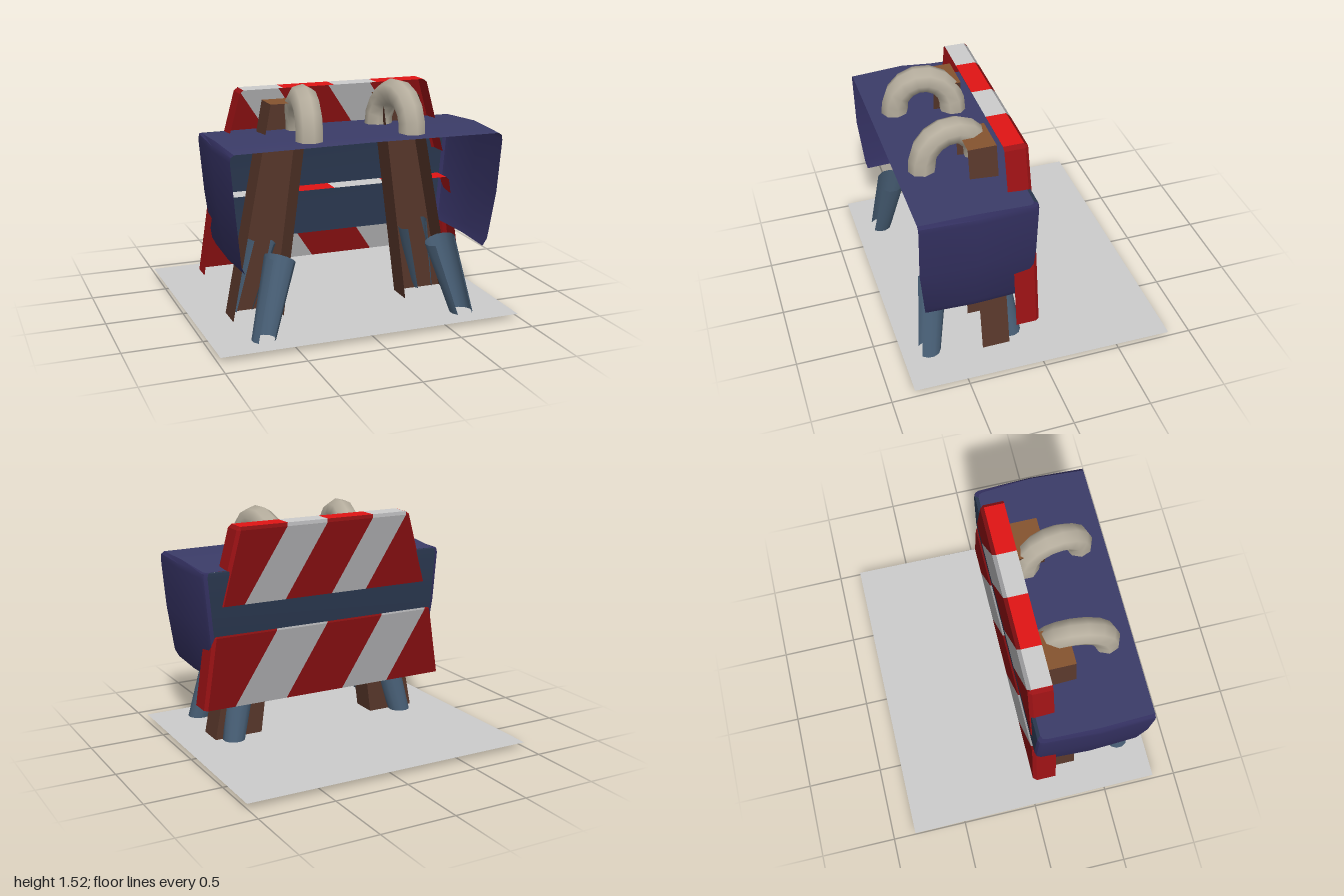
import * as THREE from 'three';
import { toCreasedNormals } from 'three/addons/utils/BufferGeometryUtils.js';

const paint = (color) => new THREE.MeshStandardMaterial({ color, side: THREE.DoubleSide });
const red = paint(0x800e10), white = paint(0xa2a2a4), topRed = paint(0xe01414), topWhite = paint(0xcccccc);
const ground = paint(0xcccccc), endRed = paint(0x981114);
const navy = paint(0x322f5e), navyRoof = paint(0x3b3c68), navyBack = paint(0x28354c);
const brown = paint(0x56362a), brownCap = paint(0x85532f), steel = paint(0x485f76), bone = paint(0xb5ad9d);

// Surface through rows of [x, y, z] points, all rows equally long
function sheet(rows, crease = 0.7) {
  const n = rows[0].length, index = [];
  for (let r = 0; r < rows.length - 1; r++)
    for (let i = 0; i < n - 1; i++) {
      const a = r * n + i, b = a + 1, c = a + n, d = c + 1;
      index.push(a, c, b, b, c, d);
    }
  const geo = new THREE.BufferGeometry();
  geo.setAttribute('position', new THREE.Float32BufferAttribute(rows.flat(2), 3));
  geo.setIndex(index);
  return toCreasedNormals(geo, crease);
}

function add(parent, name, geo, mat) {
  const mesh = new THREE.Mesh(geo, mat);
  mesh.name = name;
  parent.add(mesh);
}

// Hollow body: U-shaped sections (open to the front) stacked upwards, then a roof
function makeBody() {
  const group = new THREE.Group();
  group.name = 'body';
  const levels = [ // y, half width, front z, back z
    [0.47, 0.80, 0.71, 0.04], [0.52, 0.825, 0.72, 0.035], [0.83, 0.862, 0.75, 0.015],
    [1.16, 0.89, 0.75, 0.014], [1.19, 0.885, 0.75, 0.018], [1.205, 0.865, 0.75, 0.04],
  ];
  const rows = levels.map(([y, w, zf, zb], k) => {
    const ridge = k === levels.length - 1 ? 0.012 : 0;
    const half = [
      [w - 0.015, y, zf], [w, y + ridge, 0.4], [w - 0.014, y - ridge, zb + 0.035],
      [w - 0.022, y - ridge, zb + 0.01], [w - 0.045, y - ridge, zb],
    ];
    return [...half, ...half.map(([x, py, z]) => [-x, py, z]).reverse()];
  });
  add(group, 'leftWall', sheet(rows.map((row) => row.slice(0, 5))), navy);
  add(group, 'backWall', sheet(rows.map((row) => row.slice(4, 6))), navyBack);
  add(group, 'rightWall', sheet(rows.map((row) => row.slice(5))), navy);
  const rim = rows[rows.length - 1].slice(0, 5);
  const roof = rim.map(([x, y, z]) => [[-x, y, z], [0, y + 0.007, z], [x, y, z]]);
  add(group, 'roof', sheet(roof), navyRoof);
  return group;
}

// Hollow striped board with chamfered edges; cuts are the stripe borders along the bottom
function makeBoard(name, yb, yt, wb, wt, cuts) {
  const group = new THREE.Group();
  group.name = name;
  const lean = 0.65 * (yt - yb), inset = 0.02, back = 0.007, front = 0.16;
  const profile = [[yb, back], [yt - 0.02, back], [yt, 0.03], [yt, front]];
  const edges = [[inset - wb, inset - wt], ...cuts.map((x) => [x, x - lean]), [wb - inset, wt - inset]];
  const at = ([b, t], y) => THREE.MathUtils.lerp(b, t, (y - yb) / (yt - yb));
  for (let i = 0; i < edges.length - 1; i++) {
    const rows = profile.map(([y, z]) => [[at(edges[i + 1], y), y, z], [at(edges[i], y), y, z]]);
    add(group, 'stripe', sheet(rows.slice(0, 3), 0.3), i % 2 ? white : red);
    add(group, 'stripeTop', sheet(rows.slice(2)), i % 2 ? topWhite : topRed);
  }
  for (const s of [1, -1]) {
    const rows = [yb, yt - 0.02].map((y) => {
      const x = at([wb, wt], y);
      return [[s * x, y, front], [s * x, y, 0.03], [s * (x - inset), y, back]];
    });
    const x = s * (wt - inset);
    rows.push([[x, yt, front], [x, yt, 0.03], [x, yt, 0.03]]);
    if (s < 0) rows.forEach((row) => row.reverse());
    add(group, 'boardEnd', sheet(rows, 0.4), endRed);
  }
  return group;
}

// Slanted post: back and sides with a cap
function makePost() {
  const group = new THREE.Group();
  group.name = 'post';
  const section = (y, inner, outer) =>
    [[outer, y, 0.34], [outer, y, 0.16], [inner, y, 0.16], [inner, y, 0.34]];
  const top = section(1.4, 0.245, 0.495);
  add(group, 'postWalls', sheet([section(0, 0.43, 0.765), top]), brown);
  add(group, 'postCap', sheet([[top[3], top[2]], [top[0], top[1]]]), brownCap);
  return group;
}

// Splayed leg: round shell with a slot towards the front, its top cut square to the leg
function makeLeg(bottom, top) {
  const ring = ([x, y, z, r, tilt]) => Array.from({ length: 10 }, (_, i) => {
    const a = Math.PI * (0.23 + 1.54 * i / 9);
    return [x + r * Math.sin(a), y + tilt * r * Math.sin(a), z + r * Math.cos(a)];
  });
  return sheet([ring(bottom), ring(top)], 1);
}

// Arched handle rising from the roof
function makeHandle() {
  const points = [[0.335, 1.2, 0.583]];
  for (let i = 0; i <= 6; i++) {
    const a = Math.PI * i / 6;
    points.push([0.335 - 0.068 * (i / 6) ** 1.5, 1.245 + 0.192 * Math.sin(a), 0.4 + 0.183 * Math.cos(a)]);
  }
  points.push([0.267, 1.2, 0.217]);
  const path = new THREE.CatmullRomCurve3(points.map((p) => new THREE.Vector3(...p)));
  return new THREE.TubeGeometry(path, 9, 0.087, 8);
}

export function createModel() {
  const model = new THREE.Group();
  model.name = 'barricade';

  // Ground plate, slightly narrower at the front, with the feet sunk through it
  const y = 0.032;
  add(model, 'groundPlate', sheet([
    [[-1, y, -0.85], [1, y, -0.85]],
    [[-0.985, y, 0.848], [0.982, y, 0.848]],
  ]), ground);

  model.add(makeBody());
  model.add(makeBoard('upperBoard', 0.97, 1.465, 0.765, 0.63, [-0.29, -0.03, 0.31, 0.6]));
  model.add(makeBoard('lowerBoard', 0.3, 0.79, 0.89, 0.815, [-0.46, -0.11, 0.31, 0.68]));

  // Posts, legs and handles, mirrored on both sides
  for (const s of [1, -1]) {
    const side = new THREE.Group();
    side.name = s > 0 ? 'leftSupport' : 'rightSupport';
    side.scale.x = s;
    side.add(makePost());
    add(side, 'frontLeg', makeLeg([0.675, 0, 0.677, 0.073, 0], [0.535, 0.51, 0.602, 0.095, 0.28]), steel);
    add(side, 'backLeg', makeLeg([0.65, 0, 0.122, 0.073, 0], [0.53, 0.51, 0.205, 0.095, 0.28]), steel);
    add(side, 'handle', makeHandle(), bone);
    model.add(side);
  }
  return model;
}
